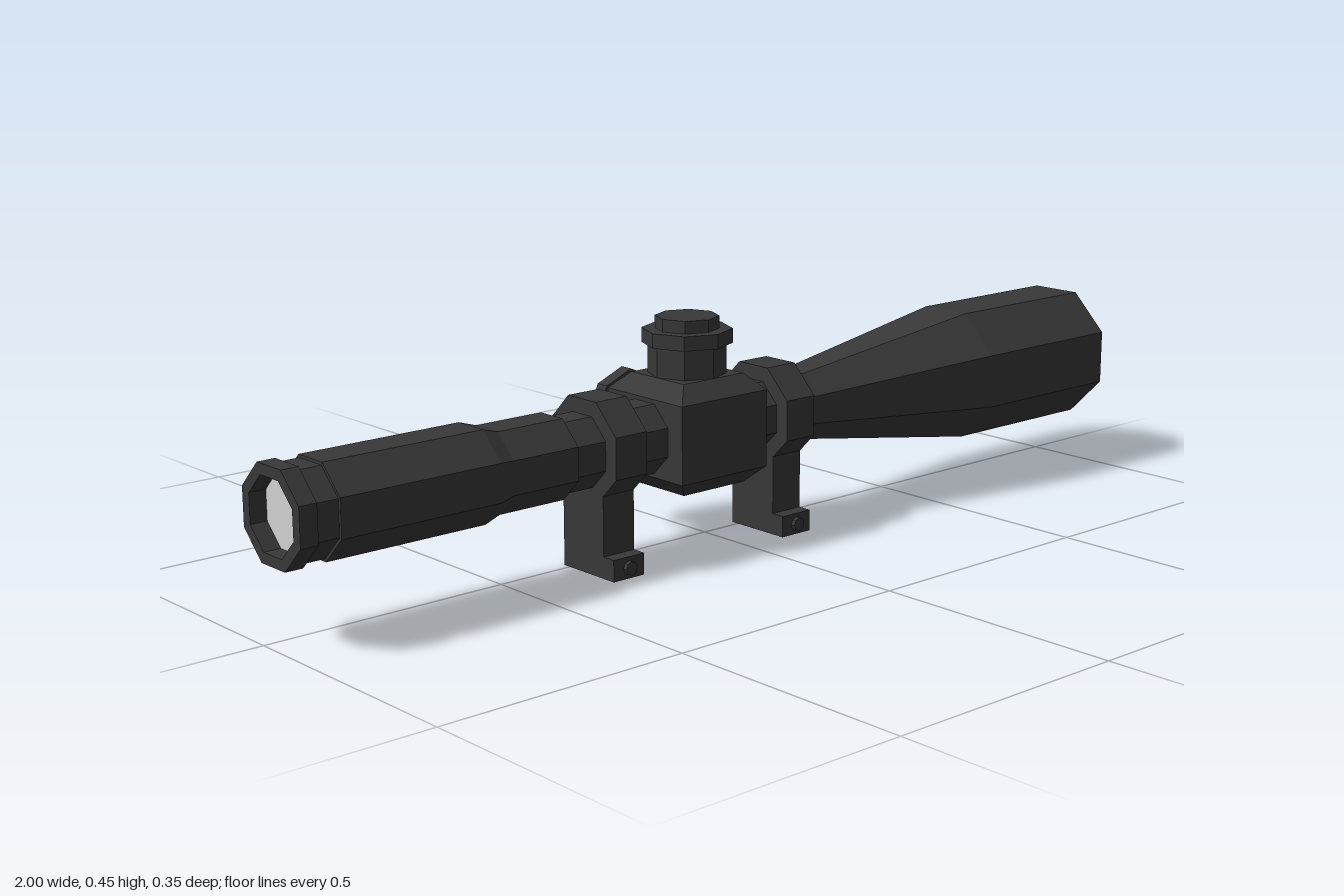
import * as THREE from 'three';

const AXIS_Y = 0.235, AXIS_Z = 0.0425, BLOCK_X = -0.083;

export function createModel() {
  const model = new THREE.Group();
  model.name = 'rifleScope';
  const metal = new THREE.MeshStandardMaterial({ color: 0x383838, flatShading: true });
  metal.name = 'darkMetal';
  const glass = new THREE.MeshStandardMaterial({ color: 0xd2d2d2, flatShading: true });
  glass.name = 'paleGlass';

  const add = (name, geometry, material, x, y, z, parent = model) => {
    const mesh = new THREE.Mesh(geometry, material);
    mesh.name = name;
    mesh.position.set(x, y, z);
    parent.add(mesh);
    return mesh;
  };

  // Faceted solid from [height, half width across flats], with a flat side facing each axis
  const faceted = (profile, sides) => new THREE.LatheGeometry(
    profile.map(([h, r]) => new THREE.Vector2(r / Math.cos(Math.PI / sides), h)),
    sides, Math.PI / sides);
  const alongX = (profile) => faceted(profile, 8).rotateZ(-Math.PI / 2);

  // Main tube: eyepiece, narrow middle, flared objective, with a recess at each end
  add('tube', alongX([
    [-0.965, 0], [-0.965, 0.067], [-1, 0.067], [-1, 0.0875], [-0.965, 0.0875], [-0.965, 0.081],
    [-0.92, 0.081], [-0.92, 0.0865], [-0.59, 0.0865], [-0.555, 0.076], [-0.41, 0.076],
    [-0.41, 0.067], [0.2, 0.067], [0.64, 0.1315], [1, 0.1315], [1, 0.119], [0.945, 0.119], [0.945, 0],
  ]), metal, 0, AXIS_Y, AXIS_Z);

  // Lenses set just above the recess floors
  const lens = (r) => alongX([[-0.002, 0], [-0.002, r], [0.002, r], [0.002, 0]]);
  add('objectiveLens', lens(0.119), glass, 0.945, AXIS_Y, AXIS_Z);
  add('eyepieceLens', lens(0.067), glass, -0.965, AXIS_Y, AXIS_Z);

  // Turret block with bevelled top and bottom edges
  add('turretBlock', faceted([
    [-0.107, 0], [-0.107, 0.075], [-0.075, 0.107], [0.075, 0.107], [0.107, 0.075], [0.107, 0],
  ], 4), metal, BLOCK_X, AXIS_Y, AXIS_Z);

  // Adjustment turrets: one upward, one out of the back
  const turret = (name) => {
    const group = new THREE.Group();
    group.name = name;
    group.position.set(BLOCK_X, AXIS_Y, AXIS_Z);
    for (const [part, radius, from, to] of [
      ['turretBody', 0.075, 0.1, 0.165],
      ['turretFlange', 0.0865, 0.165, 0.193],
      ['turretCap', 0.061, 0.193, 0.217],
    ]) {
      add(part, new THREE.CylinderGeometry(radius, radius, to - from, 8), metal,
        0, (from + to) / 2, 0, group);
    }
    model.add(group);
    return group;
  };
  turret('elevationTurret');
  turret('windageTurret').rotation.x = -Math.PI / 2;

  // Mounts: clamp ring, leg, foot and bolt
  for (const [name, x] of [['rearMount', -0.303], ['frontMount', 0.125]]) {
    const mount = new THREE.Group();
    mount.name = name;
    mount.position.x = x;
    const w = 0.0365;
    add('ring', alongX([[-w, 0.06], [-w, 0.096], [w, 0.096], [w, 0.06]]), metal, 0, AXIS_Y, AXIS_Z, mount);
    add('leg', new THREE.BoxGeometry(2 * w, 0.165, 0.116), metal, 0, 0.0825, AXIS_Z, mount);
    add('foot', new THREE.BoxGeometry(2 * w, 0.042, 0.04), metal, 0, 0.021, 0.109, mount);
    add('bolt', new THREE.CylinderGeometry(0.0135, 0.0135, 0.012, 8).rotateX(Math.PI / 2), metal,
      0, 0.021, 0.132, mount);
    model.add(mount);
  }
  return model;
}
